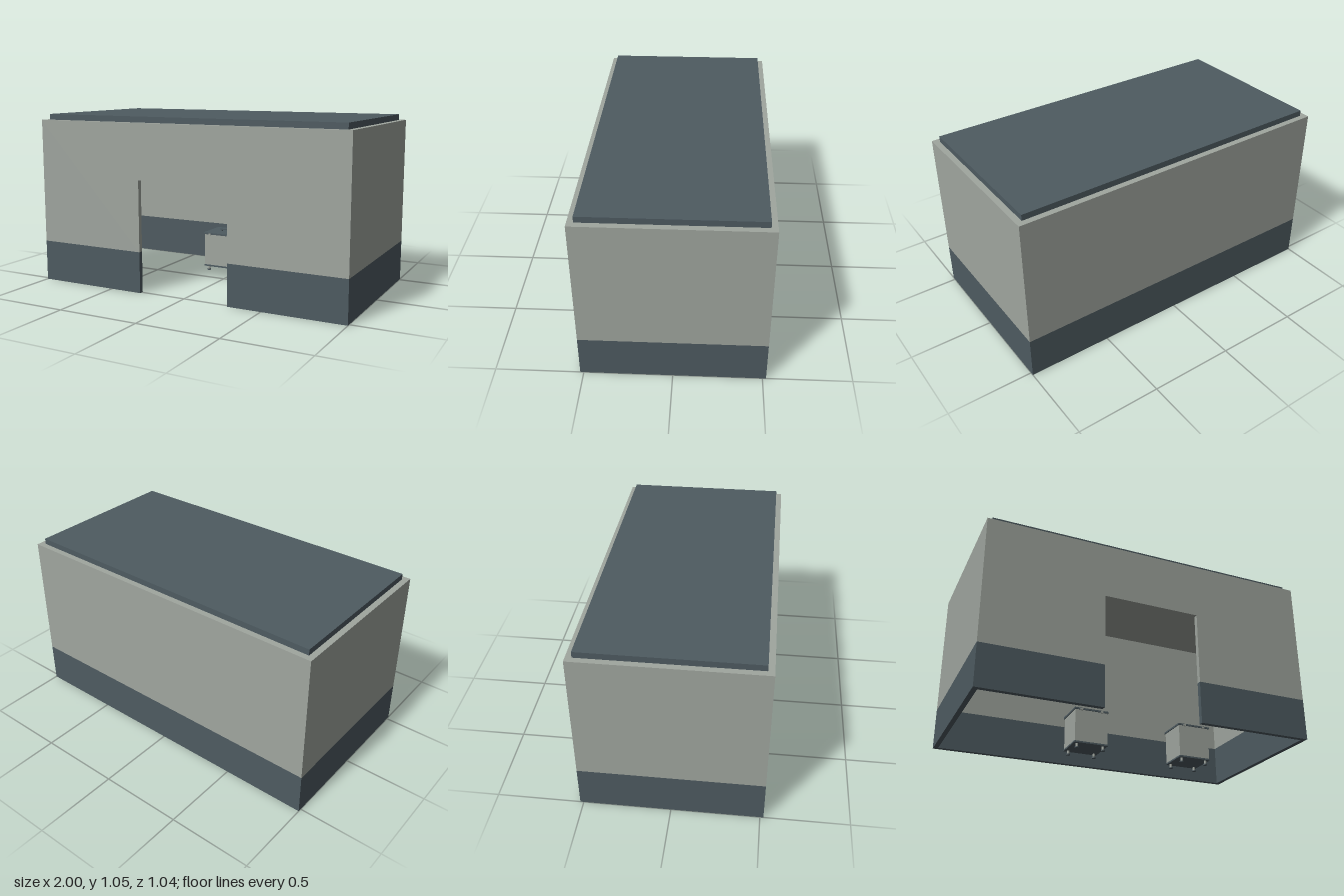
import * as THREE from 'three';

const mat = (name, color) => {
  const m = new THREE.MeshStandardMaterial({ color });
  m.name = name;
  return m;
};

export function createModel() {
  const pale = mat('pale grey panel', 0xa0a69f);
  const slate = mat('dark slate', 0x4e5b61);
  const model = new THREE.Group();
  model.name = 'shelter';

  const W = 1, D = 0.52, T = 0.028;            // half width, half depth, wall thickness
  const BAND = 0.25, TOP = 1.015, ROOF = 1.05; // heights
  const DOOR = 0.293, DOOR_TOP = 0.68;

  // Box given by its minimum and maximum corners
  const box = (parent, name, m, [x0, y0, z0], [x1, y1, z1]) => {
    const mesh = new THREE.Mesh(new THREE.BoxGeometry(x1 - x0, y1 - y0, z1 - z0), m);
    mesh.position.set((x0 + x1) / 2, (y0 + y1) / 2, (z0 + z1) / 2);
    mesh.name = name;
    parent.add(mesh);
    return mesh;
  };

  // Back and side walls, each split into a dark base band and a pale upper part
  for (const [part, m, y0, y1] of [['Base', slate, 0, BAND], ['Upper', pale, BAND, TOP]]) {
    box(model, 'backWall' + part, m, [-W, y0, -D], [W, y1, -D + T]);
    box(model, 'leftWall' + part, m, [W - T, y0, -D + T], [W, y1, D - T]);
    box(model, 'rightWall' + part, m, [-W, y0, -D + T], [-W + T, y1, D - T]);
  }

  // Front wall with the doorway
  box(model, 'frontWallBaseRight', slate, [-W, 0, D - T], [-DOOR, BAND, D]);
  box(model, 'frontWallBaseLeft', slate, [DOOR, 0, D - T], [W, BAND, D]);
  const outline = new THREE.Shape([
    [-W, BAND], [-DOOR, BAND], [-DOOR, DOOR_TOP], [DOOR, DOOR_TOP],
    [DOOR, BAND], [W, BAND], [W, TOP], [-W, TOP],
  ].map(([x, y]) => new THREE.Vector2(x, y)));
  const front = new THREE.Mesh(
    new THREE.ExtrudeGeometry(outline, { depth: T, bevelEnabled: false }), pale);
  front.position.z = D - T;
  front.name = 'frontWallUpper';
  model.add(front);

  // Ceiling and raised roof slab
  box(model, 'ceiling', pale, [-W + T, TOP - T, -D + T], [W - T, TOP, D - T]);
  box(model, 'roof', slate, [-0.965, TOP, -0.485], [0.965, ROOF, 0.485]);

  // Cabinet on four small feet, with a lid and a raised handle
  const addCabinet = (name, x, z) => {
    const g = new THREE.Group();
    g.name = name;
    g.position.set(x, 0, z);
    box(g, 'basePlate', slate, [-0.11, 0.03, -0.1], [0.11, 0.04, 0.1]);
    box(g, 'body', pale, [-0.107, 0.04, -0.097], [0.107, 0.246, 0.097]);
    box(g, 'lid', slate, [-0.113, 0.246, -0.103], [0.113, 0.257, 0.103]);
    box(g, 'handle', slate, [-0.04, 0.266, -0.012], [0.04, 0.274, 0.012]);
    for (const sx of [-1, 1]) {
      box(g, 'handlePost', slate, [sx * 0.03 - 0.005, 0.257, -0.006], [sx * 0.03 + 0.005, 0.266, 0.006]);
      box(g, 'lidCatch', pale, [sx * 0.068 - 0.008, 0.242, 0.097], [sx * 0.068 + 0.008, 0.254, 0.107]);
      for (const sz of [-1, 1]) {
        const stem = new THREE.Mesh(new THREE.CylinderGeometry(0.008, 0.008, 0.024, 12), pale);
        stem.position.set(sx * 0.086, 0.018, sz * 0.077);
        stem.name = 'footStem';
        const pad = new THREE.Mesh(new THREE.CylinderGeometry(0.013, 0.013, 0.008, 16), slate);
        pad.position.set(sx * 0.086, 0.005, sz * 0.077);
        pad.name = 'footPad';
        g.add(stem, pad);
      }
    }
    model.add(g);
  };
  addCabinet('middleCabinet', -0.11, -0.24);
  addCabinet('leftCabinet', 0.61, -0.24);

  return model;
}
